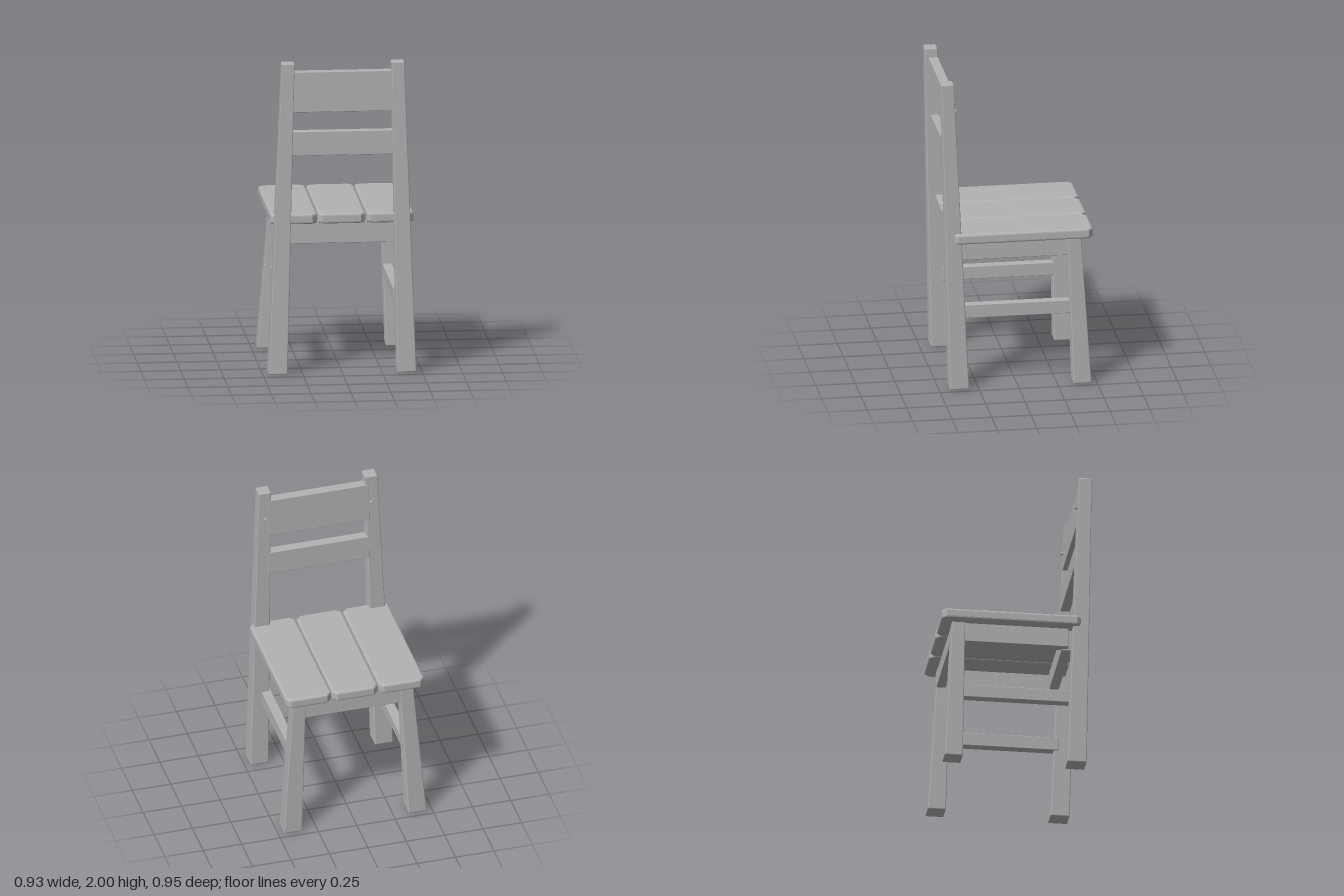
import * as THREE from 'three';
import { RoundedBoxGeometry } from 'three/addons/geometries/RoundedBoxGeometry.js';

export function createModel() {
  const chair = new THREE.Group();
  chair.name = 'chair';
  const wood = new THREE.MeshStandardMaterial({ color: 0xb2b2b2 });
  wood.name = 'grey wood';

  const add = (geometry, name) => {
    const mesh = new THREE.Mesh(geometry, wood);
    mesh.name = name;
    chair.add(mesh);
    return mesh;
  };

  // Softly edged bar between two horizontal rectangles [x0, x1, z0, z1]
  function bar(name, y0, y1, bottom, top, radius = 0.006) {
    const w = bottom[1] - bottom[0], d = bottom[3] - bottom[2], h = y1 - y0;
    const geo = new RoundedBoxGeometry(w, h, d, 2, radius);
    const p = geo.attributes.position;
    const lerp = THREE.MathUtils.lerp;
    for (let i = 0; i < p.count; i++) {
      const t = p.getY(i) / h + 0.5;
      const u = p.getX(i) / w + 0.5, v = p.getZ(i) / d + 0.5;
      p.setXYZ(i,
        lerp(lerp(bottom[0], bottom[1], u), lerp(top[0], top[1], u), t),
        y0 + t * h,
        lerp(lerp(bottom[2], bottom[3], v), lerp(top[2], top[3], v), t));
    }
    return add(geo, name);
  }

  const mirrorX = (r, s) => (s > 0 ? r : [-r[1], -r[0], r[2], r[3]]);

  for (const s of [1, -1]) {
    const side = s > 0 ? 'left' : 'right';
    const pair = (name, y0, y1, a, b, r) =>
      bar(side + name, y0, y1, mirrorX(a, s), mirrorX(b, s), r);

    // Tall posts carrying the backrest, and the short legs under the seat
    pair('BackPost', 0, 2, [0.345, 0.465, 0.31, 0.432], [0.305, 0.385, 0.396, 0.475], 0.008);
    pair('SeatLeg', 0, 0.97, [0.345, 0.465, -0.465, -0.35], [0.305, 0.388, -0.408, -0.325], 0.008);

    // Side apron and lower stretcher
    pair('SideApron', 0.83, 0.96, [0.322, 0.382, -0.36, 0.33], [0.318, 0.378, -0.36, 0.33], 0.004);
    pair('Stretcher', 0.445, 0.53, [0.327, 0.387, -0.38, 0.36], [0.323, 0.383, -0.38, 0.36], 0.004);

    // Screw head on the post
    const screw = add(new THREE.CylinderGeometry(0.009, 0.011, 0.02, 10), side + 'Screw');
    screw.rotation.x = -Math.PI / 2;
    screw.position.set(s * 0.343, 1.81, 0.383);
  }

  // Cross rails under the seat
  bar('seatEndApron', 0.825, 0.96, [-0.34, 0.34, -0.415, -0.355], [-0.33, 0.33, -0.406, -0.346], 0.004);
  bar('backApron', 0.82, 0.96, [-0.345, 0.345, 0.288, 0.348], [-0.345, 0.345, 0.294, 0.354], 0.004);

  // Backrest slats follow the lean of the posts
  for (const [name, y0, y1] of [['lowerSlat', 1.4, 1.555], ['upperSlat', 1.68, 1.94]]) {
    const section = (y) => {
      const z = 0.31 + 0.042 * y;
      return [-0.33, 0.33, z, z + 0.06];
    };
    bar(name, y0, y1, section(y0), section(y1), 0.004);
  }

  // Seat planks with clipped corners and eased edges
  const bevel = 0.014, clip = 0.022;
  const planks = [[-0.45, -0.155], [-0.148, 0.148], [0.155, 0.45]];
  planks.forEach(([left, right], i) => {
    const x0 = left + bevel, x1 = right - bevel;
    const y0 = -0.405 + bevel, y1 = 0.478 - bevel;
    const shape = new THREE.Shape([
      [x0 + clip, y0], [x1 - clip, y0], [x1, y0 + clip], [x1, y1 - clip],
      [x1 - clip, y1], [x0 + clip, y1], [x0, y1 - clip], [x0, y0 + clip],
    ].map(([x, y]) => new THREE.Vector2(x, y)));
    const geo = new THREE.ExtrudeGeometry(shape, {
      depth: 0.065 - 2 * bevel, bevelEnabled: true,
      bevelSize: bevel, bevelThickness: bevel, bevelSegments: 3,
    });
    geo.rotateX(-Math.PI / 2);
    geo.translate(0, 0.955 + bevel, 0);
    add(geo, 'seatPlank' + (i + 1));
  });

  return chair;
}
